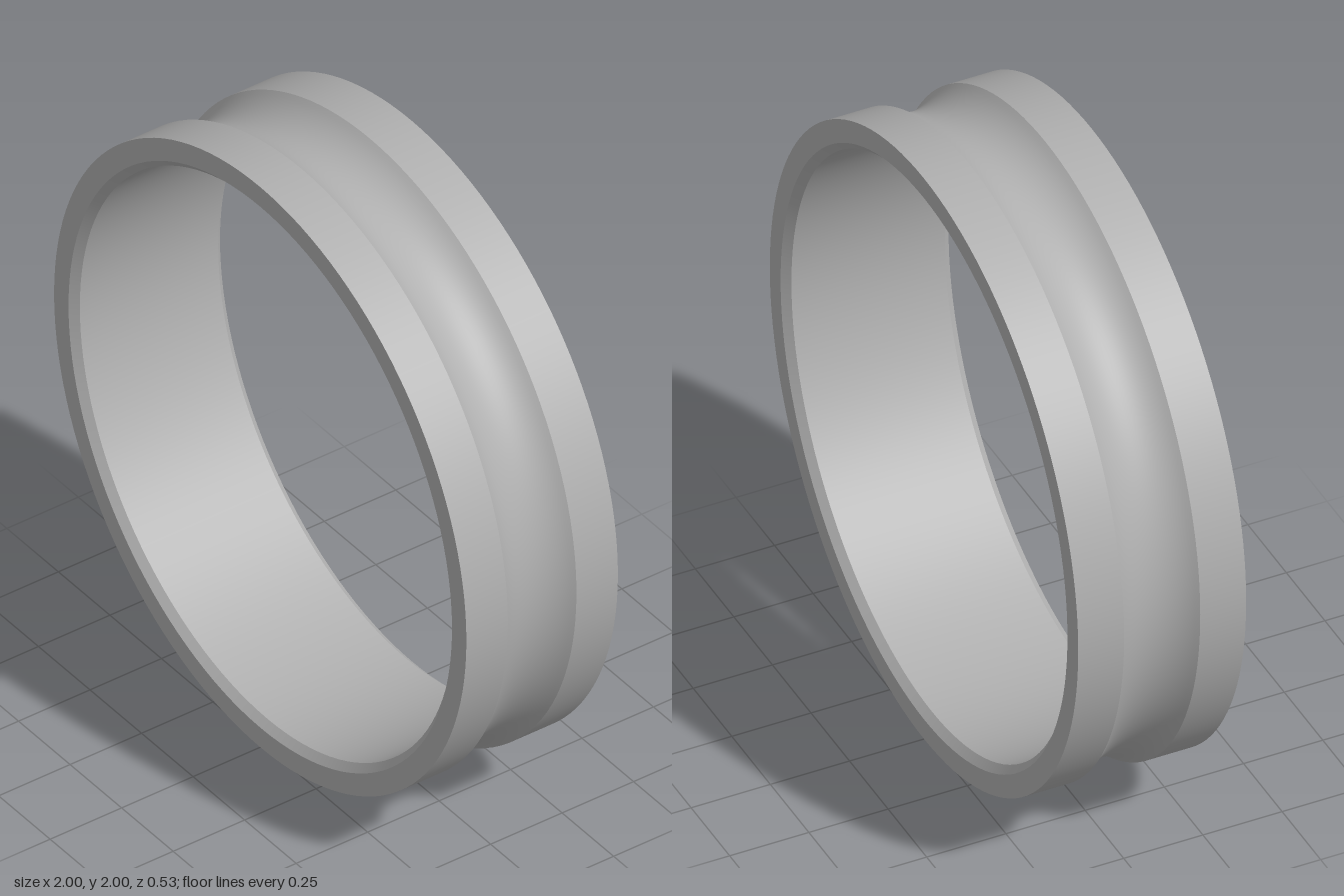
import * as THREE from 'three';

const SEGMENTS = 128;
const OUTER = 1, INNER = 0.907, HALF_WIDTH = 0.265;
const CHAMFER = 0.023;
const GROOVE_HALF = 0.12, GROOVE_DEPTH = 0.045;

export function createModel() {
  const model = new THREE.Group();
  model.name = 'groovedRing';
  const metal = new THREE.MeshStandardMaterial({ color: 0xb0b0b0 });
  metal.name = 'grey metal';

  // Each band is revolved separately so the edges between bands stay sharp
  const addBand = (name, points) => {
    const profile = points.map(([r, a]) => new THREE.Vector2(r, a));
    const geometry = new THREE.LatheGeometry(profile, SEGMENTS);
    geometry.rotateX(Math.PI / 2);
    geometry.translate(0, 1, 0);
    const mesh = new THREE.Mesh(geometry, metal);
    mesh.name = name;
    model.add(mesh);
  };

  // Circular arc of the groove round the outside
  const arcRadius = (GROOVE_HALF ** 2 + GROOVE_DEPTH ** 2) / (2 * GROOVE_DEPTH);
  const arcCentre = OUTER - GROOVE_DEPTH + arcRadius;
  const halfAngle = Math.asin(GROOVE_HALF / arcRadius);
  const groove = [];
  for (let i = 0; i <= 16; i++) {
    const t = halfAngle * (i / 8 - 1);
    groove.push([arcCentre - arcRadius * Math.cos(t), arcRadius * Math.sin(t)]);
  }
  addBand('groove', groove);

  // Outer rim, flat side and inner chamfer, mirrored front and back
  for (const [side, s] of [['front', 1], ['back', -1]]) {
    const section = (name, points) => {
      const placed = points.map(([r, a]) => [r, a * s]);
      addBand(side + name, s > 0 ? placed : placed.reverse());
    };
    section('Rim', [[OUTER, GROOVE_HALF], [OUTER, HALF_WIDTH]]);
    section('Face', [[OUTER, HALF_WIDTH], [INNER + CHAMFER, HALF_WIDTH]]);
    section('Chamfer', [[INNER + CHAMFER, HALF_WIDTH], [INNER, HALF_WIDTH - CHAMFER]]);
  }

  // Smooth bore
  addBand('bore', [[INNER, HALF_WIDTH - CHAMFER], [INNER, CHAMFER - HALF_WIDTH]]);

  return model;
}
